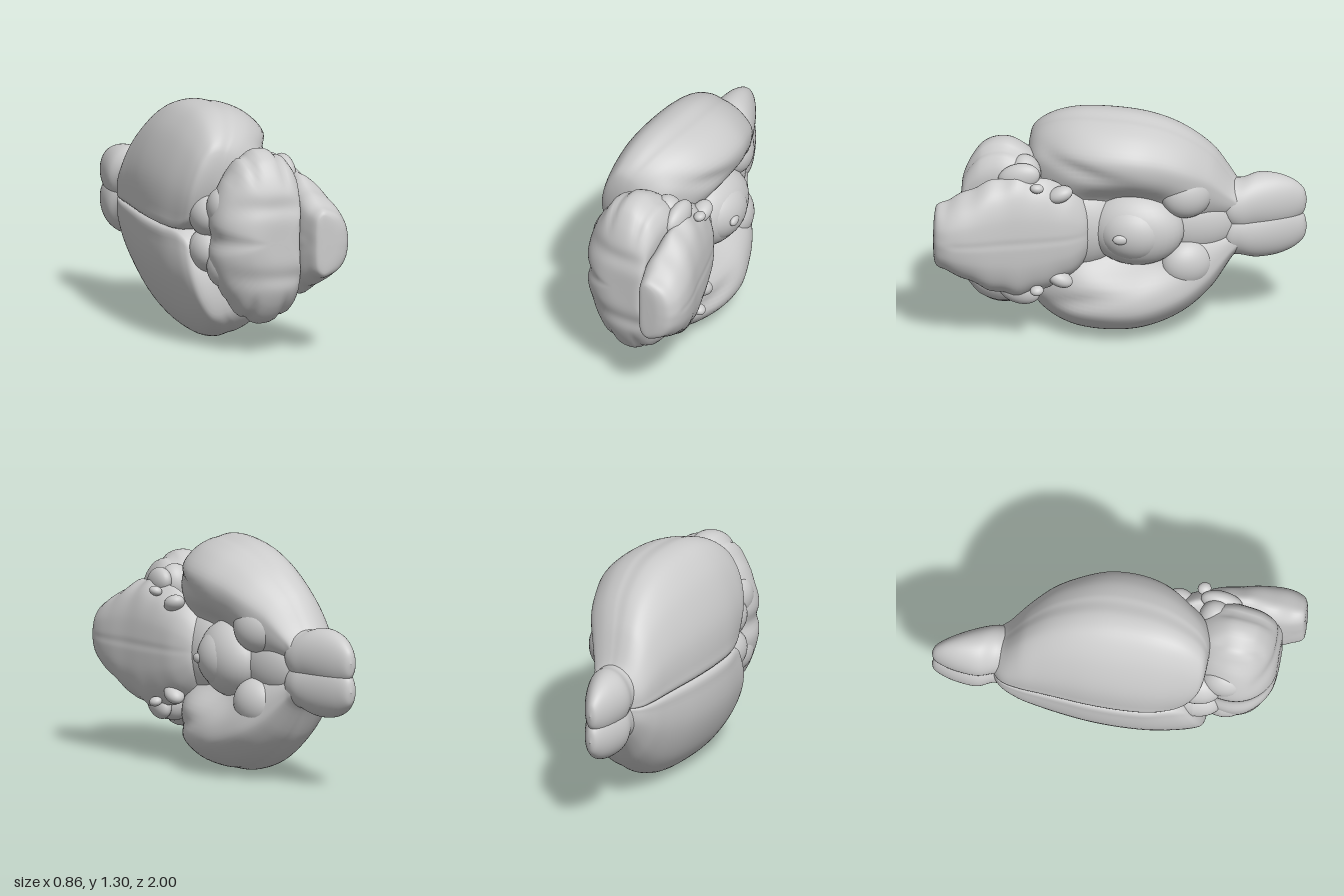
import * as THREE from 'three';

const MID = 0.65; // height of the symmetry plane
const material = new THREE.MeshStandardMaterial({ color: 0xcccccc });

// Unit-square cross-sections, counter-clockwise seen from +z
const closed = (pts) => new THREE.CatmullRomCurve3(pts.map(([s, v]) => new THREE.Vector3(s, v, 0)), true);
// Section given by its upper half from right to left, reflected below
const symmetric = (half) => closed([...half, ...half.slice(1, -1).reverse().map(([s, v]) => [s, 1 - v])]);
const bulbSection = closed(Array.from({ length: 24 }, (_, i) => {
  const a = (i / 24) * Math.PI * 2;
  return [0.5 + 0.5 * Math.cos(a), 0.5 + 0.5 * Math.sin(a)];
}));
const cortexSection = closed([
  [0.02, 0.01], [0.5, 0.01], [0.72, 0.06], [0.86, 0.19], [0.96, 0.38], [1, 0.58], [0.99, 0.74],
  [0.85, 0.89], [0.7, 0.96], [0.62, 0.975], [0.5, 1], [0.35, 0.965], [0.2, 0.82], [0.09, 0.62], [0.015, 0.38], [0, 0.14],
]);
const stemSection = symmetric([
  [1, 0.5], [0.99, 0.57], [0.94, 0.72], [0.78, 0.87], [0.5, 0.97], [0.25, 1], [0.05, 0.9], [0, 0.7], [0, 0.5],
]);
const rearSection = symmetric([
  [0.95, 0.5], [0.96, 0.7], [0.97, 0.85], [0.87, 0.94], [0.7, 0.99], [0.55, 1], [0.4, 0.975],
  [0.25, 0.91], [0.11, 0.79], [0.02, 0.66], [0, 0.58], [0.04, 0.5],
]);

// Loft along z through stations [z, x0, x1, y0, y1]; warp may move each point
function loft(stations, section, warp = () => {}, rows = 64, cols = 72) {
  const zx = new THREE.CatmullRomCurve3(stations.map((s) => new THREE.Vector3(s[0], s[1], s[2])));
  const yy = new THREE.CatmullRomCurve3(stations.map((s) => new THREE.Vector3(s[3], s[4], s[0])));
  const pos = [], index = [], p = new THREE.Vector3();
  for (let i = 0; i <= rows; i++) {
    const a = zx.getPoint(i / rows), b = yy.getPoint(i / rows);
    for (let j = 0; j < cols; j++) {
      const q = section.getPoint(j / cols);
      p.set(a.y + (a.z - a.y) * q.x, b.x + (b.y - b.x) * q.y, a.x);
      warp(p);
      pos.push(p.x, p.y, p.z);
      if (i === rows) continue;
      const k = i * cols + j, n = i * cols + ((j + 1) % cols);
      index.push(k, n, k + cols, n, n + cols, k + cols);
    }
  }
  const g = new THREE.BufferGeometry();
  g.setAttribute('position', new THREE.Float32BufferAttribute(pos, 3));
  g.setIndex(index);
  g.computeVertexNormals();
  return g;
}

// Copy reflected through the symmetry plane
function mirrored(geometry) {
  const g = geometry.clone(), p = g.attributes.position, idx = g.index.array;
  for (let i = 0; i < p.count; i++) p.setY(i, 2 * MID - p.getY(i));
  for (let i = 0; i < idx.length; i += 3) [idx[i], idx[i + 1]] = [idx[i + 1], idx[i]];
  g.computeVertexNormals();
  return g;
}

function ellipsoid([x, y, z], [rx, ry, rz], [ax, ay, az] = [0, 0, 0]) {
  const g = new THREE.SphereGeometry(1, 32, 20);
  g.scale(rx, ry, rz);
  g.rotateX(ax).rotateY(ay).rotateZ(az);
  return g.translate(x, y, z);
}

// Bell curve used for grooves and hollows
const bell = (d, width) => Math.exp(-((d / width) ** 2));

export function createModel() {
  const group = new THREE.Group();
  const add = (name, g) => {
    const mesh = new THREE.Mesh(g, material);
    mesh.name = name;
    group.add(mesh);
  };
  const addPair = (name, g) => {
    add(name + 'Upper', g);
    add(name + 'Lower', mirrored(g));
  };

  // Cerebral hemispheres, rear edge drawn forward towards the midline
  addPair('hemisphere', loft([
    [-0.68, -0.23, -0.23, 0.73, 0.73],
    [-0.65, -0.33, -0.1, 0.655, 0.82],
    [-0.6, -0.375, -0.07, 0.65, 0.89],
    [-0.5, -0.4, 0.01, 0.65, 1.05],
    [-0.38, -0.41, 0.1, 0.65, 1.165],
    [-0.25, -0.42, 0.16, 0.65, 1.24],
    [-0.1, -0.43, 0.21, 0.65, 1.285],
    [0.08, -0.43, 0.22, 0.65, 1.3],
    [0.25, -0.415, 0.185, 0.65, 1.29],
    [0.38, -0.39, 0.12, 0.65, 1.25],
    [0.47, -0.365, 0.05, 0.67, 1.19],
    [0.52, -0.33, -0.04, 0.72, 1.12],
    [0.535, -0.19, -0.19, 0.92, 0.92],
  ], cortexSection, (p) => {
    const inner = Math.max(0, 1 - (p.y - MID) / 0.4);
    if (p.z > 0.2) p.z -= (p.z - 0.2) * 0.35 * inner * inner;
    const under = Math.min(1, Math.max(0, (p.x + 0.1) / 0.2));
    // Hollow around the central boss, and a shallow one beside the under-lobe
    p.x -= 0.12 * under * bell(p.y - 0.82, 0.11) * bell(p.z + 0.04, 0.24);
    p.x -= 0.02 * under * bell(p.y - 1 - 0.25 * p.z, 0.045) * bell(p.z - 0.2, 0.25);
  }));

  // Paired bulbs at the tip, merging at the midline
  addPair('frontBulb', loft([
    [-1, -0.3, -0.3, 0.73, 0.73],
    [-0.985, -0.33, -0.265, 0.66, 0.795],
    [-0.93, -0.355, -0.22, 0.61, 0.85],
    [-0.84, -0.375, -0.165, 0.58, 0.888],
    [-0.73, -0.38, -0.11, 0.57, 0.898],
    [-0.65, -0.35, -0.08, 0.57, 0.875],
    [-0.58, -0.34, -0.08, 0.6, 0.865],
    [-0.48, -0.22, -0.22, 0.75, 0.75],
  ], bulbSection, undefined, 40, 48));

  // Underside swellings and bridge ahead of the central boss
  addPair('underLobe', ellipsoid([-0.01, 0.86, -0.37], [0.11, 0.14, 0.15], [0, 0.5, 0]));
  add('underBridge', ellipsoid([-0.09, MID, -0.42], [0.1, 0.17, 0.23], [0, 0.35, 0]));

  // Central boss on the underside with its short stalk
  add('centralBoss', ellipsoid([0.02, MID, -0.09], [0.17, 0.215, 0.27]));
  add('bossSwelling', ellipsoid([0.06, MID, -0.08], [0.15, 0.17, 0.2]));
  add('stalk', ellipsoid([0.2, MID, -0.03], [0.022, 0.028, 0.045], [0, 0.2, 0]));

  // Core joining the hemispheres, stem and rear body
  add('midbrain', ellipsoid([-0.05, MID, 0.3], [0.23, 0.3, 0.34]));
  addPair('rearHillock', ellipsoid([-0.235, 0.75, 0.47], [0.1, 0.12, 0.15]));

  // Rounded rear body, its ends creased into broad lobes
  add('rearBody', loft([
    [0.4, -0.02, -0.02, MID, MID],
    [0.44, -0.18, 0.16, 0.3, 1.0],
    [0.52, -0.25, 0.2, 0.21, 1.09],
    [0.62, -0.28, 0.205, 0.16, 1.14],
    [0.7, -0.28, 0.2, 0.165, 1.135],
    [0.77, -0.255, 0.195, 0.2, 1.1],
    [0.83, -0.205, 0.185, 0.28, 1.02],
    [0.872, -0.14, 0.175, 0.38, 0.92],
    [0.89, -0.08, 0.15, 0.48, 0.82],
    [0.893, 0.04, 0.04, MID, MID],
  ], rearSection, (p) => {
    const d = p.y - MID;
    const end = THREE.MathUtils.smoothstep(Math.abs(d), 0.25, 0.42) * THREE.MathUtils.smoothstep(p.z, 0.5, 0.62);
    const crease = bell(p.x + 0.085, 0.022) + bell(p.x - 0.09, 0.022) + bell(p.x + 0.18, 0.022);
    p.y -= Math.sign(d) * 0.022 * end * crease;
    p.z -= 0.012 * bell(Math.abs(d) - 0.2, 0.05) * THREE.MathUtils.smoothstep(p.z, 0.7, 0.85);
  }));

  // Small lobes beside the stem and along the top edge
  addPair('sideLobe', ellipsoid([0.1, 0.98, 0.52], [0.09, 0.11, 0.09], [0, 0, -0.2]));
  addPair('edgeLobe', ellipsoid([-0.19, 0.8, 0.62], [0.095, 0.13, 0.13], [0, 0, 0.2]));

  // Slanted stem
  add('stem', loft([
    [0.15, 0.11, 0.11, MID, MID],
    [0.17, 0.02, 0.18, 0.49, 0.81],
    [0.25, 0.05, 0.245, 0.39, 0.91],
    [0.36, 0.1, 0.29, 0.34, 0.96],
    [0.5, 0.14, 0.335, 0.29, 1.01],
    [0.62, 0.16, 0.37, 0.3, 1.0],
    [0.74, 0.165, 0.41, 0.345, 0.955],
    [0.84, 0.165, 0.43, 0.395, 0.905],
    [0.92, 0.185, 0.427, 0.44, 0.86],
    [0.975, 0.205, 0.4, 0.46, 0.84],
    [0.996, 0.225, 0.35, 0.49, 0.81],
    [1, 0.28, 0.28, MID, MID],
  ], stemSection, (p) => {
    // Uneven side edges and a faint groove along the middle
    const d = p.y - MID;
    p.y += Math.sign(d) * 0.08 * d * d * Math.sin(p.z * 38);
    if (p.x > 0.15) p.x -= 0.004 * bell(d, 0.025) * THREE.MathUtils.smoothstep(0.95 - p.z, 0, 0.1);
  }));

  // Nerve stubs and side flaps on the stem
  addPair('nerveStub', ellipsoid([0.26, 0.96, 0.43], [0.034, 0.027, 0.038], [0, 0.4, 0.3]));
  addPair('nerveRoot', ellipsoid([0.2, 0.905, 0.31], [0.055, 0.045, 0.075], [0.4, 0, 0]));
  addPair('sideFlap', ellipsoid([0.19, 0.99, 0.54], [0.055, 0.08, 0.12], [0.3, 0, 0]));

  return group;
}
